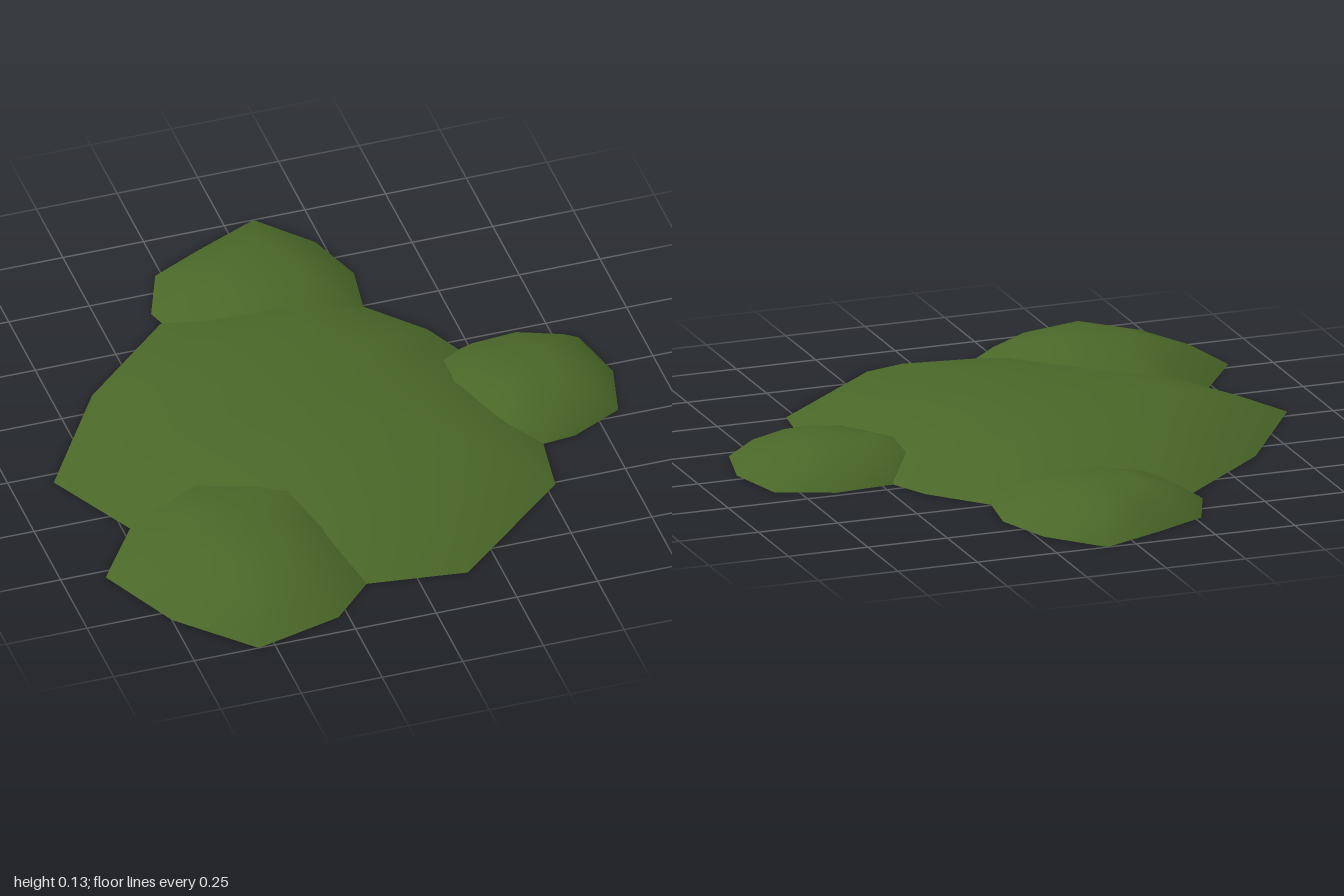
import * as THREE from 'three';

// Low dome, open below: an irregular rim drawn in towards a centre ring by ring.
// rim: [x, z] corners, clockwise from above; rings: [scale, height] from the rim up.
function dome(name, material, [cx, cz], top, rim, rings) {
  const n = rim.length;
  const pos = [];
  const index = [];
  for (const [s, y] of rings) {
    for (const [x, z] of rim) pos.push(cx + (x - cx) * s, y, cz + (z - cz) * s);
  }
  pos.push(cx, top, cz);
  const apex = rings.length * n;
  for (let r = 0; r < rings.length; r++) {
    for (let i = 0; i < n; i++) {
      const a = r * n + i;
      const b = r * n + (i + 1) % n;
      if (r === rings.length - 1) index.push(b, a, apex);
      else index.push(b, a, a + n, b, a + n, b + n);
    }
  }
  const geometry = new THREE.BufferGeometry();
  geometry.setAttribute('position', new THREE.Float32BufferAttribute(pos, 3));
  geometry.setIndex(index);
  geometry.computeVertexNormals();
  const mesh = new THREE.Mesh(geometry, material);
  mesh.name = name;
  return mesh;
}

export function createModel() {
  const group = new THREE.Group();
  group.name = 'mossPatch';
  const moss = new THREE.MeshStandardMaterial({ color: 0x4a6728, side: THREE.DoubleSide });
  moss.name = 'moss green';

  // Broad central mound
  group.add(dome('mainMound', moss, [-0.1, 0.05], 0.127,
    [[-0.87, 0.04], [-0.63, -0.33], [-0.33, -0.6], [0.11, -0.65], [0.27, -0.49], [0.41, -0.33], [0.47, -0.2],
      [0.56, 0.3], [0.53, 0.51], [0.15, 0.84], [-0.15, 0.8], [-0.4, 0.71], [-0.73, 0.32]],
    [[1, 0], [0.8, 0.066], [0.58, 0.1], [0.33, 0.123]]));

  // Three smaller mounds around its edge
  group.add(dome('frontMound', moss, [-0.47, 0.56], 0.125,
    [[-0.87, 0.53], [-0.71, 0.3], [-0.53, 0.13], [-0.24, 0.18], [-0.04, 0.27], [-0.1, 0.55],
      [-0.15, 0.8], [-0.28, 0.93], [-0.55, 1], [-0.75, 0.79]],
    [[1, 0], [0.7, 0.072], [0.38, 0.112]]));

  group.add(dome('backMound', moss, [-0.01, -0.66], 0.094,
    [[-0.34, -0.655], [-0.27, -0.83], [-0.11, -0.91], [0.09, -1], [0.23, -0.84], [0.29, -0.66],
      [0.26, -0.46], [0.1, -0.35], [-0.115, -0.34], [-0.28, -0.46]],
    [[1, 0], [0.72, 0.06], [0.4, 0.086]]));

  group.add(dome('leftMound', moss, [0.56, 0.04], 0.092,
    [[0.26, 0.01], [0.33, -0.14], [0.47, -0.21], [0.65, -0.225], [0.82, -0.155], [0.865, 0.035],
      [0.82, 0.22], [0.66, 0.3], [0.56, 0.31], [0.45, 0.27]],
    [[1, 0], [0.77, 0.057], [0.42, 0.084]]));

  return group;
}
